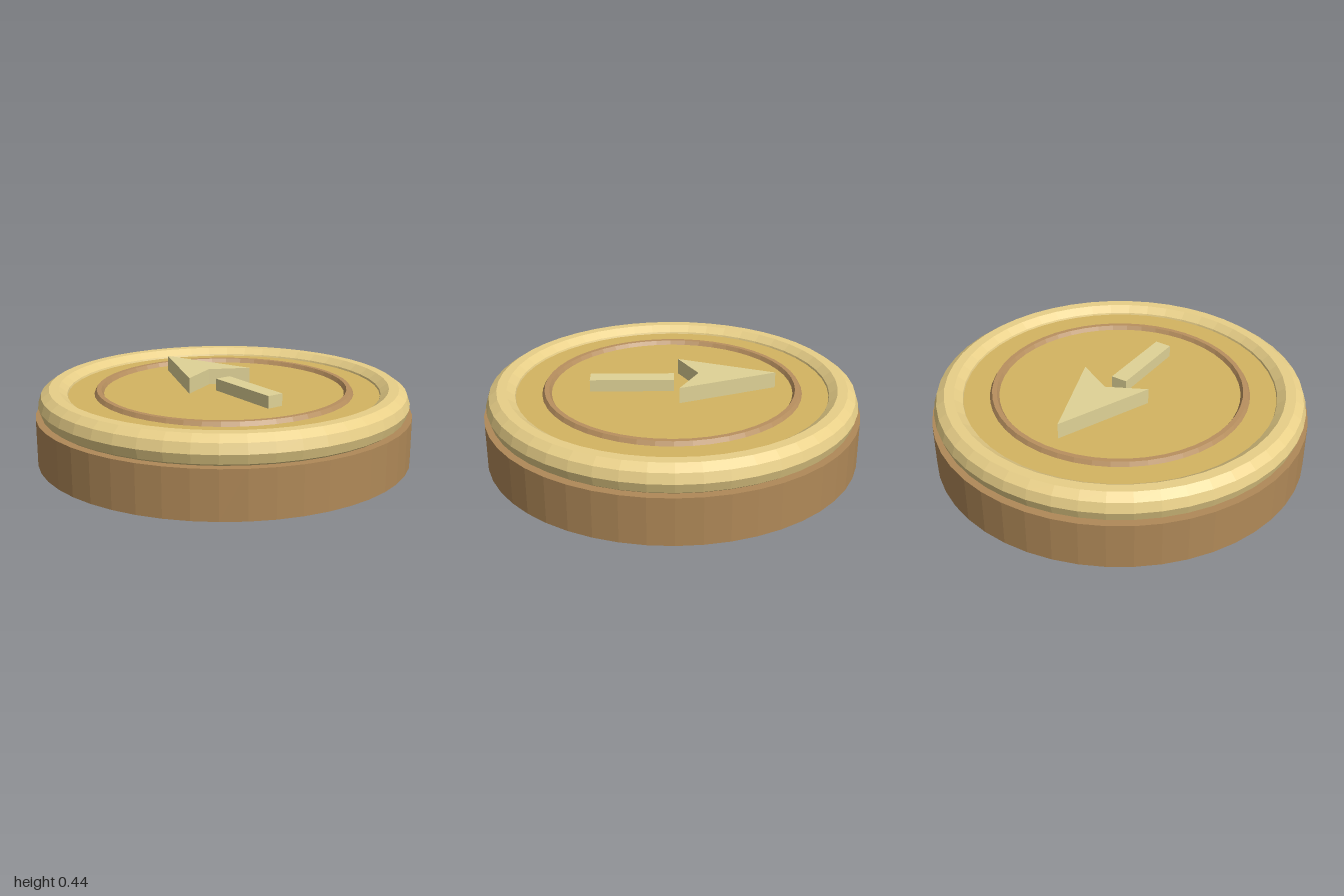
import * as THREE from 'three';

const SIDES = 48;
const FLOOR = 0.35;

function addPart(group, name, geometry, color, y = 0) {
  const material = new THREE.MeshStandardMaterial({ color, flatShading: true });
  const mesh = new THREE.Mesh(geometry, material);
  mesh.name = name;
  mesh.position.y = y;
  group.add(mesh);
  return mesh;
}

// Ring lying flat in the xz plane
function flatRing(radius, tube, tubeSides) {
  return new THREE.TorusGeometry(radius, tube, tubeSides, SIDES).rotateX(Math.PI / 2);
}

// Upright prism from [x, z] outline points, rising from y = 0
function prism(points, height) {
  const shape = new THREE.Shape(points.map(([x, z]) => new THREE.Vector2(x, -z)));
  return new THREE.ExtrudeGeometry(shape, { depth: height, bevelEnabled: false }).rotateX(-Math.PI / 2);
}

export function createModel() {
  const group = new THREE.Group();
  group.name = 'arrowPlate';

  // Bronze drum
  addPart(group, 'base', new THREE.CylinderGeometry(1, 1, 0.25, SIDES), 0xb08958, 0.125);

  // Gold face, sunk inside a rounded rim
  addPart(group, 'face', new THREE.CylinderGeometry(0.85, 0.85, 0.11, SIDES), 0xd4b461, FLOOR - 0.055);
  addPart(group, 'rim', flatRing(0.9, 0.085, 10), 0xe8cf88, 0.31);

  // Thin bronze ring around the arrow
  addPart(group, 'innerRing', flatRing(0.665, 0.025, 6), 0xb8905f, FLOOR);

  // Raised arrow pointing to the back
  const head = [[0, -0.55], [-0.2, -0.035], [0, -0.14], [0.2, -0.035]];
  addPart(group, 'arrowHead', prism(head, 0.085), 0xdfd296, FLOOR);
  const shaft = addPart(group, 'arrowShaft', new THREE.BoxGeometry(0.09, 0.065, 0.445), 0xdfd296, FLOOR + 0.0325);
  shaft.position.z = 0.213;

  return group;
}
